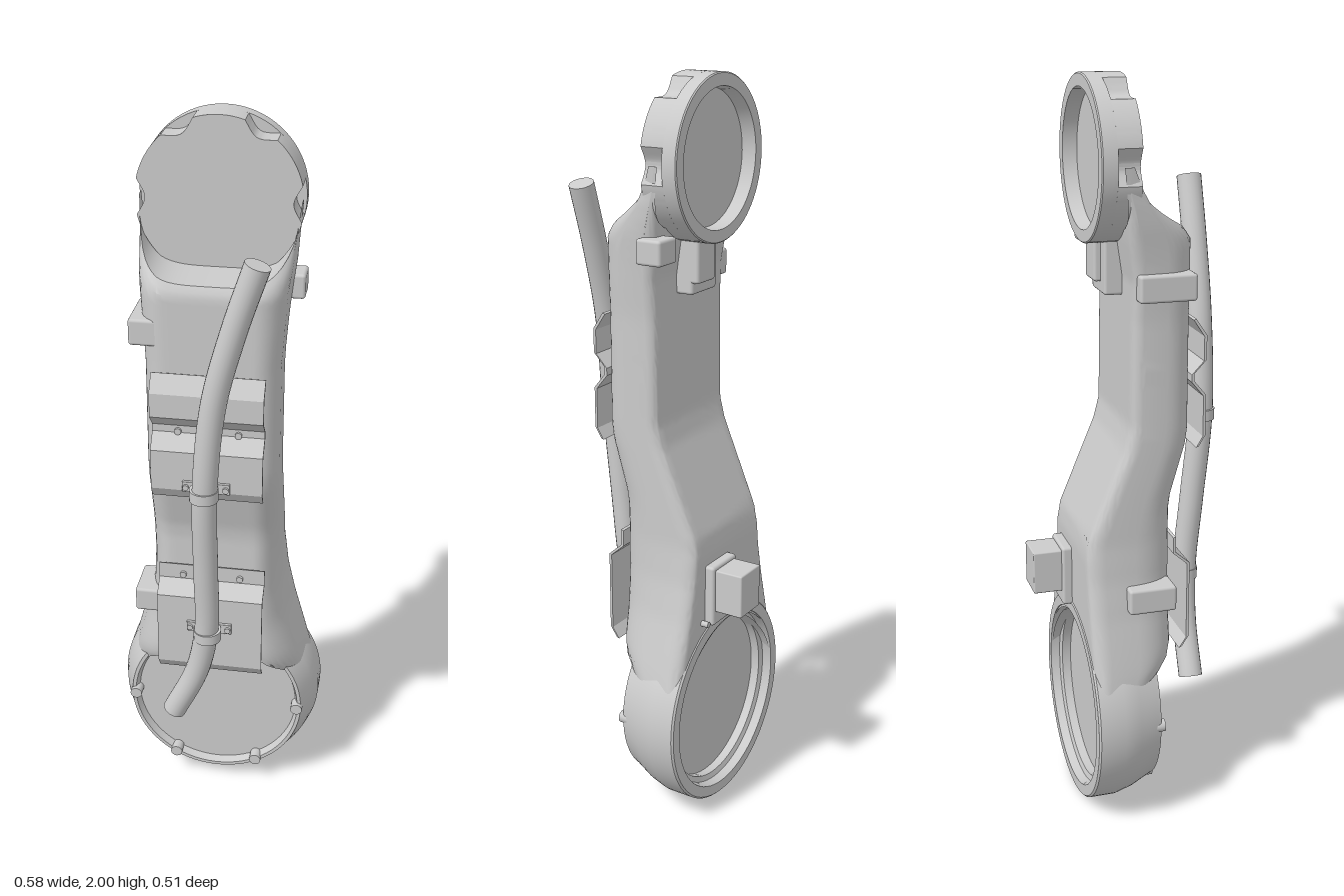
import * as THREE from 'three';
import { toCreasedNormals } from 'three/addons/utils/BufferGeometryUtils.js';
import { RoundedBoxGeometry } from 'three/addons/geometries/RoundedBoxGeometry.js';

const grey = new THREE.MeshStandardMaterial({ color: 0xcccccc });
const HUB_Y = 0.29, HEAD_Y = 1.79;

// piecewise-linear lookup through [y, value] pairs
function ramp(table, y) {
  if (y <= table[0][0]) return table[0][1];
  for (let i = 1; i < table.length; i++) {
    const [y0, a] = table[i - 1], [y1, b] = table[i];
    if (y <= y1) return a + (b - a) * (y - y0) / (y1 - y0);
  }
  return table[table.length - 1][1];
}

// arm sections: half width at back and front, back depth, front depth
const backWidth = [[0.29, 0.285], [0.4, 0.272], [0.5, 0.245], [0.6, 0.215], [0.7, 0.19], [0.8, 0.176], [1.4, 0.175], [1.55, 0.187], [1.65, 0.2], [1.79, 0.205]];
const frontWidth = [[0.29, 0.25], [0.4, 0.235], [0.5, 0.205], [0.6, 0.182], [0.7, 0.174], [1.4, 0.172], [1.6, 0.18], [1.79, 0.2]];
const backZ = [[0.77, -0.152], [0.82, -0.145], [1.06, -0.045], [1.12, -0.03], [1.5, -0.025], [1.6, -0.04], [1.79, -0.06]];
const frontZ = [[0.4, 0.03], [0.46, 0.075], [0.5, 0.085], [0.88, 0.085], [0.92, 0.09], [1.06, 0.13], [1.1, 0.135], [1.6, 0.135], [1.63, 0.115], [1.73, 0.0], [1.79, -0.015]];

// normalised rounded section: x -1..1, depth 0 (back) .. 1 (front)
function sectionRing() {
  const ring = [];
  const corner = (sx, front, rx, rz, a0) => {
    for (let i = 0; i <= 8; i++) {
      const a = a0 - (i / 8) * Math.PI / 2;
      ring.push([sx * (1 - rx) + Math.cos(a) * rx, (front ? 1 - rz : rz) + Math.sin(a) * rz]);
    }
  };
  const flat = (from, to) => {
    for (let i = 1; i < 16; i++) ring.push([from[0] + (to[0] - from[0]) * i / 16, from[1]]);
  };
  corner(-1, true, 0.35, 0.45, Math.PI);
  flat([-0.65, 1], [0.65, 1]);
  corner(1, true, 0.35, 0.45, Math.PI / 2);
  corner(1, false, 0.14, 0.2, 0);
  flat([0.86, 0], [-0.86, 0]);
  corner(-1, false, 0.14, 0.2, -Math.PI / 2);
  return ring;
}

// arm lofted between the round hub seat below and the head pocket above
function armGeometry() {
  const ring = sectionRing(), rows = 72, n = ring.length, pos = [], index = [];
  for (let r = -1; r <= rows + 1; r++) {
    const t = Math.min(Math.max(r / rows, 0), 1);
    for (const [cx, cz] of ring) {
      const c = Math.min(1, Math.abs(cx));
      const low = HUB_Y + 0.25 * Math.sqrt(1 - c * c);
      const high = HEAD_Y - 0.17 * Math.pow(1 - c ** 4, 0.25);
      const y = low + (high - low) * t;
      const wb = ramp(backWidth, y), wf = ramp(frontWidth, y);
      const zb = ramp(backZ, y), zf = ramp(frontZ, y);
      const end = r < 0 || r > rows;
      pos.push(cx * (wb + (wf - wb) * cz), y, end ? zb : zb + (zf - zb) * cz);
    }
  }
  for (let r = 0; r < rows + 2; r++) for (let i = 0; i < n; i++) {
    const a = r * n + i, b = r * n + (i + 1) % n;
    index.push(a, b, a + n, b, b + n, a + n);
  }
  const g = new THREE.BufferGeometry();
  g.setAttribute('position', new THREE.Float32BufferAttribute(pos, 3));
  g.setIndex(index);
  return toCreasedNormals(g, 0.6);
}

// turned part whose axis runs along z; profile is [radius, z]
function turned(profile) {
  const g = new THREE.LatheGeometry(profile.map(p => new THREE.Vector2(...p)), 72);
  return toCreasedNormals(g.rotateX(Math.PI / 2), 0.5);
}

// front of the head with scalloped bites around its rim
function scallopedDisc() {
  const pts = [];
  for (let i = 0; i < 144; i++) {
    const a = i / 144 * Math.PI * 2;
    let r = 0.21;
    for (const c of [0, 60, 120, 180]) {
      let d = a - THREE.MathUtils.degToRad(c);
      d = Math.atan2(Math.sin(d), Math.cos(d));
      if (Math.abs(d) < 0.22) r -= 0.026 * Math.cos(d / 0.22 * Math.PI / 2);
    }
    pts.push(new THREE.Vector2(Math.cos(a) * r, Math.sin(a) * r));
  }
  const g = new THREE.ExtrudeGeometry(new THREE.Shape(pts), { depth: 0.063, bevelEnabled: false });
  return toCreasedNormals(g.translate(0, 0, -0.078), 0.4);
}

// bent sheet: [z, y] path thickened towards the back, spanning x
function bentSheet(path, halfWidth) {
  const t = 0.007;
  const pts = [...path, ...path.slice().reverse().map(([z, y]) => [z - t, y - t * 0.4])];
  const g = new THREE.ExtrudeGeometry(new THREE.Shape(pts.map(p => new THREE.Vector2(...p))), { depth: halfWidth * 2, bevelEnabled: false });
  return g.rotateY(-Math.PI / 2).translate(halfWidth, 0, 0);
}

export function createModel() {
  const model = new THREE.Group();
  const add = (name, geometry, x = 0, y = 0, z = 0) => {
    const m = new THREE.Mesh(geometry, grey);
    m.name = name;
    m.position.set(x, y, z);
    model.add(m);
    return m;
  };
  // block from its two extreme corners
  const block = (name, x0, x1, y0, y1, z0, z1, r = 0.008) =>
    add(name, new RoundedBoxGeometry(x1 - x0, y1 - y0, z1 - z0, 2, r), (x0 + x1) / 2, (y0 + y1) / 2, (z0 + z1) / 2);
  const stud = (name, x, y, z, r, len) =>
    add(name, new THREE.CylinderGeometry(r, r, len, 16).rotateX(Math.PI / 2), x, y, z);

  add('armBody', armGeometry());

  // lower joint hub, open at the back
  add('lowerHub', turned([[0, -0.1], [0.235, -0.1], [0.235, -0.125], [0.25, -0.13], [0.255, -0.155], [0.285, -0.155],
    [0.29, -0.15], [0.29, -0.08], [0.278, -0.035], [0.253, 0.02], [0.25, 0.03], [0.24, 0.03], [0.232, 0.008], [0, 0.008]]), 0, HUB_Y);
  for (const deg of [0, 180, 240, 300]) {
    const a = THREE.MathUtils.degToRad(deg);
    stud('hubPin', Math.cos(a) * 0.238, HUB_Y + Math.sin(a) * 0.238, 0.024, 0.017, 0.035);
  }

  // upper joint head, open at the back
  add('upperHeadRim', turned([[0, -0.08], [0.172, -0.08], [0.176, -0.118], [0.207, -0.118], [0.21, -0.115], [0.21, -0.077], [0, -0.077]]), 0, HEAD_Y);
  add('upperHeadFace', scallopedDisc(), 0, HEAD_Y);

  // stops on the flanks and the back
  block('rightUpperStop', -0.205, -0.13, 1.455, 1.525, -0.02, 0.13);
  block('rightLowerStop', -0.22, -0.14, 0.62, 0.69, -0.05, 0.08);
  block('leftUpperStop', 0.14, 0.22, 1.55, 1.615, -0.078, -0.005);
  block('headBracket', -0.06, 0.06, 1.45, 1.6, -0.072, -0.015);
  block('headBracketRib', -0.025, 0.06, 1.48, 1.6, -0.09, -0.05);
  block('postBase', 0, 0.12, 0.57, 0.74, -0.178, -0.14);
  block('backPost', 0.01, 0.11, 0.61, 0.73, -0.257, -0.15, 0.004);
  stud('backPin', 0.135, 0.58, -0.158, 0.008, 0.03);

  // bent cover plates
  add('upperPlate', bentSheet([[0.148, 1.395], [0.178, 1.35], [0.178, 1.285], [0.145, 1.25], [0.145, 1.23],
    [0.178, 1.19], [0.178, 1.08], [0.16, 1.05]], 0.145));
  add('lowerPlate', bentSheet([[0.1, 0.8], [0.1, 0.755], [0.14, 0.72], [0.14, 0.5], [0.12, 0.47]], 0.145));
  for (const s of [-1, 1]) {
    stud('plateScrew', s * 0.078, 1.235, 0.146, 0.009, 0.012);
    stud('plateScrew', s * 0.078, 0.77, 0.102, 0.009, 0.012);
  }

  // cable with capped ends
  const curve = new THREE.CatmullRomCurve3([
    [0.13, 1.72, 0.217], [0.075, 1.55, 0.217], [0.025, 1.35, 0.217], [0.002, 1.1, 0.216], [0, 0.85, 0.193],
    [-0.002, 0.65, 0.174], [-0.03, 0.5, 0.167], [-0.097, 0.35, 0.165]].map(p => new THREE.Vector3(...p)));
  add('cable', new THREE.TubeGeometry(curve, 64, 0.033, 20));
  for (const [t, s] of [[0, -1], [1, 1]]) {
    const cap = add('cableEnd', new THREE.CircleGeometry(0.033, 20));
    cap.position.copy(curve.getPoint(t));
    cap.quaternion.setFromUnitVectors(new THREE.Vector3(0, 0, 1), curve.getTangent(t).multiplyScalar(s));
  }

  // cable clamps with screwed ears
  for (const [y, z, plate] of [[1.095, 0.215, 0.178], [0.63, 0.173, 0.14]]) {
    add('clampBand', new THREE.CylinderGeometry(0.038, 0.038, 0.03, 24), 0, y, z);
    block('clampEars', -0.062, 0.062, y - 0.015, y + 0.015, plate - 0.002, plate + 0.008, 0.002);
    for (const s of [-1, 1]) stud('clampScrew', s * 0.052, y, plate + 0.008, 0.008, 0.014);
  }
  return model;
}
